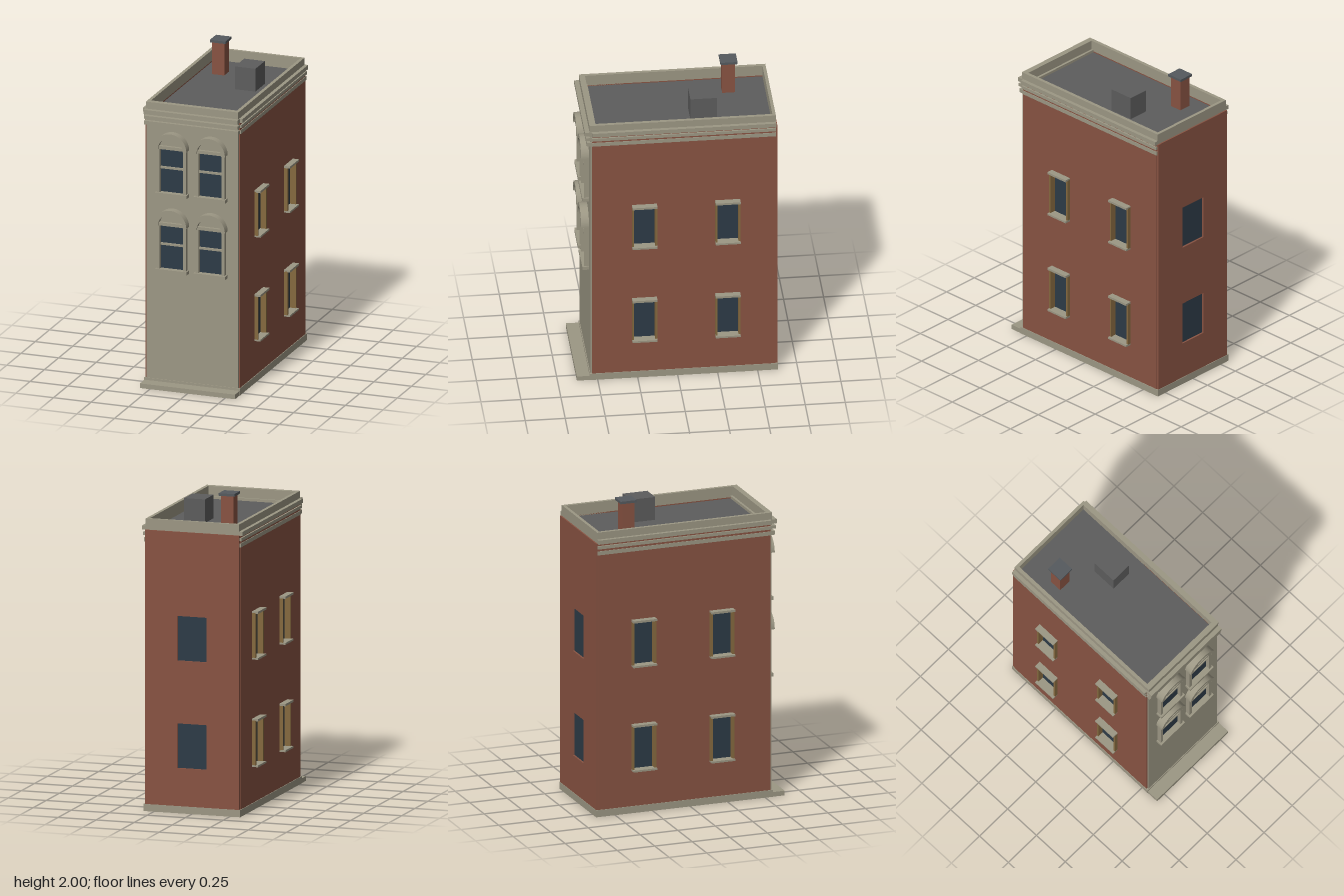
import * as THREE from 'three';

const mat = (name, color) => {
  const m = new THREE.MeshStandardMaterial({ color });
  m.name = name;
  return m;
};

export function createModel() {
  const stone = mat('stone', 0x9c9784);
  const brick = mat('brick', 0x885342);
  const glass = mat('glass', 0x2d3b47);
  const roofGrey = mat('roof grey', 0x5d5d5d);
  const wood = mat('tan wood', 0x85693f);
  const slate = mat('chimney cap grey', 0x555a5e);

  const model = new THREE.Group();
  model.name = 'townhouse';

  const group = (name, parent = model) => {
    const g = new THREE.Group();
    g.name = name;
    parent.add(g);
    return g;
  };
  const add = (parent, name, geometry, material) => {
    const mesh = new THREE.Mesh(geometry, material);
    mesh.name = name;
    parent.add(mesh);
    return mesh;
  };
  // box given by its limits on each axis
  const box = (parent, name, material, x0, x1, y0, y1, z0, z1) => {
    const mesh = add(parent, name, new THREE.BoxGeometry(x1 - x0, y1 - y0, z1 - z0), material);
    mesh.position.set((x0 + x1) / 2, (y0 + y1) / 2, (z0 + z1) / 2);
    return mesh;
  };
  const rect = (S, x0, x1, y0, y1) => new S([
    new THREE.Vector2(x0, y0), new THREE.Vector2(x1, y0),
    new THREE.Vector2(x1, y1), new THREE.Vector2(x0, y1)]);
  const extrude = (shape, depth) =>
    new THREE.ExtrudeGeometry(shape, { depth, bevelEnabled: false, curveSegments: 20 });
  // wall facing local +z, with rectangular openings [x0, x1, y0, y1]
  const wall = (parent, name, x0, x1, z0, z1, openings) => {
    const shape = rect(THREE.Shape, x0, x1, 0.02, 1.78);
    openings.forEach(o => shape.holes.push(rect(THREE.Path, ...o)));
    add(parent, name, extrude(shape, z1 - z0), brick).position.z = z0;
  };

  // Base, front step and front wall
  box(model, 'base', stone, -0.318, 0.318, 0, 0.045, -0.627, 0.55);
  box(model, 'frontStep', stone, -0.316, 0.316, 0, 0.03, 0.55, 0.63);
  box(model, 'frontWall', stone, -0.305, 0.305, 0.02, 1.79, 0.5, 0.545);

  const floors = [[0.275, 0.58], [0.955, 1.26]];

  // Brick side walls with deep-set windows
  for (const s of [1, -1]) {
    const side = group(s > 0 ? 'leftSide' : 'rightSide');
    side.rotation.y = s * Math.PI / 2;
    const openings = [];
    for (const z of [0.208, -0.312]) {
      for (const [y0, y1] of floors) {
        const c = -s * z, w = 0.078;
        openings.push([c - w + 0.003, c + w - 0.003, y0 + 0.003, y1 - 0.003]);
        const win = group('sideWindow', side);
        box(win, 'glass', glass, c - 0.07, c + 0.07, y0 + 0.005, y1 - 0.005, 0.291, 0.299);
        for (const e of [-1, 1]) {
          const x = c + e * 0.072;
          box(win, 'jamb', wood, x - 0.006, x + 0.006, y0 + 0.01, y1 - 0.01, 0.29, 0.338);
        }
        box(win, 'sill', stone, c - w, c + w, y0, y0 + 0.012, 0.29, 0.355);
        box(win, 'lintel', stone, c - w, c + w, y1 - 0.014, y1, 0.29, 0.355);
      }
    }
    wall(side, 'sideWall', s > 0 ? -0.535 : -0.61, s > 0 ? 0.61 : 0.535, 0.285, 0.314, openings);
  }

  // Brick back wall with plain windows
  const back = group('back');
  back.rotation.y = Math.PI;
  wall(back, 'backWall', -0.31, 0.31, 0.597, 0.624,
    floors.map(([y0, y1]) => [-0.095, 0.095, y0 + 0.01, y1 - 0.012]));
  for (const [y0, y1] of floors) {
    box(back, 'backGlass', glass, -0.1, 0.1, y0, y1, 0.604, 0.612);
  }

  // Arched front windows
  for (const cx of [-0.128, 0.128]) {
    for (const y of [0.775, 1.275]) {
      const win = group('frontWindow');
      win.position.set(cx, y, 0.54);
      box(win, 'glass', glass, -0.08, 0.08, 0, 0.29, 0, 0.009);
      for (const e of [-1, 1]) {
        box(win, 'jamb', stone, e * 0.087 - 0.01, e * 0.087 + 0.01, 0, 0.288, 0, 0.035);
      }
      box(win, 'meetingRail', stone, -0.078, 0.078, 0.155, 0.168, 0, 0.022);
      box(win, 'sill', stone, -0.105, 0.105, -0.02, 0.002, 0, 0.047);
      box(win, 'lintel', stone, -0.082, 0.082, 0.288, 0.308, 0, 0.045);

      const arch = new THREE.Shape();
      arch.absarc(0, 0, 0.107, 0, Math.PI, false);
      arch.absarc(0, 0, 0.081, Math.PI, 0, true);
      add(win, 'archHood', extrude(arch, 0.055), stone).position.y = 0.288;

      const fill = new THREE.Shape();
      fill.absarc(0, 0, 0.083, 0, Math.PI, false);
      add(win, 'archPanel', extrude(fill, 0.025), stone).position.y = 0.288;
    }
  }

  // Stepped cornice strips on the front and both sides
  const cornice = group('cornice');
  for (const [y0, y1, out] of [[1.705, 1.73, 0], [1.745, 1.765, 0.006], [1.778, 1.805, 0.012]]) {
    box(cornice, 'frontStrip', stone, -0.312, 0.312, y0, y1, 0.53, 0.567 + out);
    for (const s of [-1, 1]) {
      const a = s * 0.3, b = s * (0.318 + out);
      box(cornice, 'sideStrip', stone, Math.min(a, b), Math.max(a, b), y0, y1, -0.615, 0.535);
    }
  }

  // Parapet ring and sunken roof
  const ring = rect(THREE.Shape, -0.307, 0.307, -0.55, 0.615);
  ring.holes.push(rect(THREE.Path, -0.285, 0.285, -0.515, 0.595));
  const parapet = add(model, 'parapet', extrude(ring, 0.08), stone);
  parapet.rotation.x = -Math.PI / 2;
  parapet.position.y = 1.77;
  box(model, 'roof', roofGrey, -0.29, 0.29, 1.75, 1.773, -0.597, 0.52);

  // Chimney and roof unit
  box(model, 'chimney', brick, -0.198, -0.117, 1.76, 1.986, -0.405, -0.325);
  box(model, 'chimneyCap', slate, -0.208, -0.105, 1.984, 2, -0.42, -0.313);
  box(model, 'roofUnit', roofGrey, 0.04, 0.177, 1.76, 1.922, -0.26, -0.095);

  return model;
}
